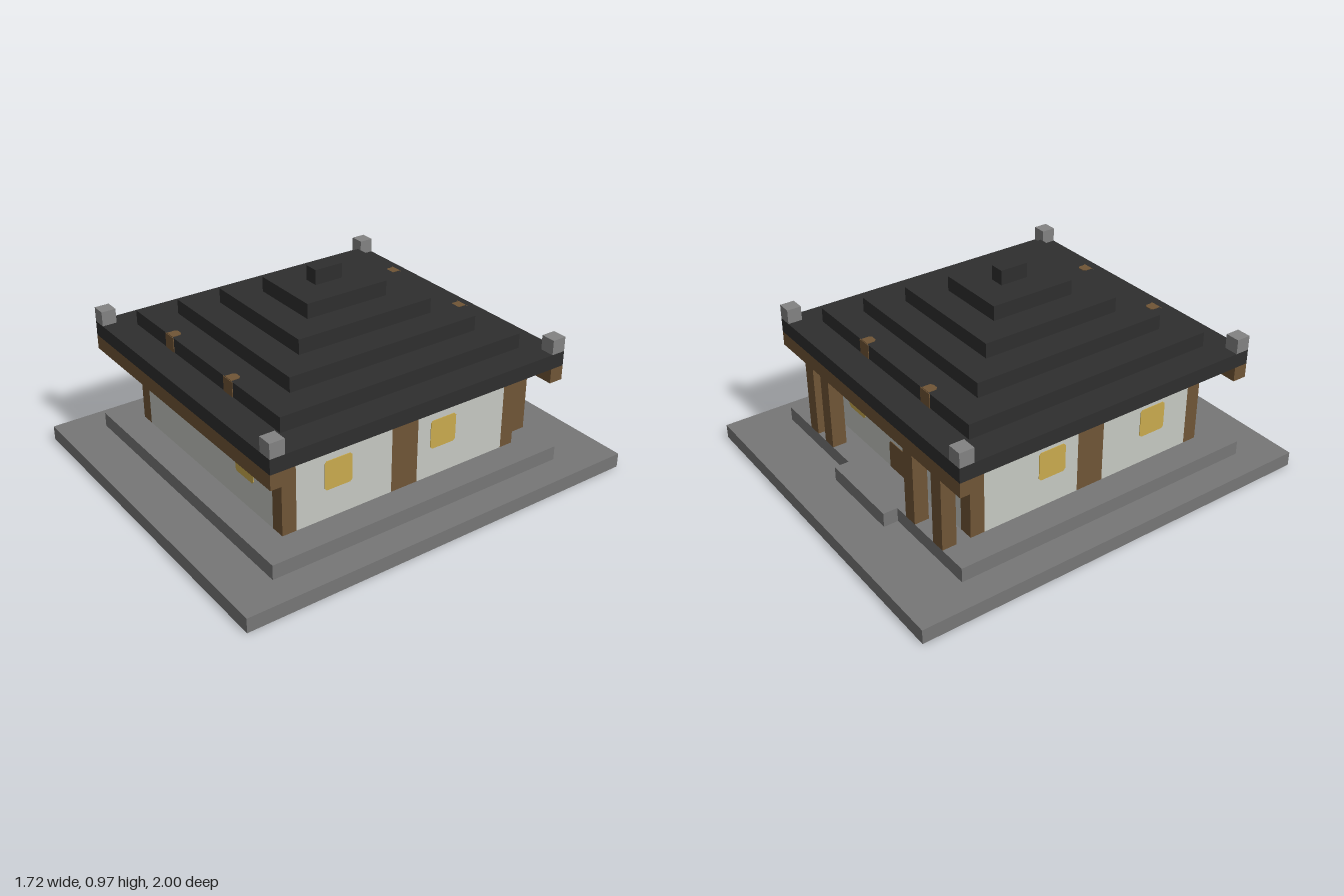
import * as THREE from 'three';

const U = 2 / 29; // one building block

const mat = (name, color) => {
  const m = new THREE.MeshStandardMaterial({ color });
  m.name = name;
  return m;
};

export function createModel() {
  const stone = mat('stone', 0x777777);
  const paleStone = mat('paleStone', 0x828282);
  const tile = mat('roofTile', 0x2e2e2e);
  const wood = mat('wood', 0x705536);
  const plaster = mat('plaster', 0xc6c9c2);
  const redwood = mat('redwood', 0x50342e);
  const glow = mat('windowGlow', 0xcaab4e);

  const model = new THREE.Group();
  model.name = 'hall';

  // box given by its limits in blocks
  const box = (name, material, [x0, x1], [y0, y1], [z0, z1]) => {
    const geo = new THREE.BoxGeometry((x1 - x0) * U, (y1 - y0) * U, (z1 - z0) * U);
    const mesh = new THREE.Mesh(geo, material);
    mesh.name = name;
    mesh.position.set((x0 + x1) / 2 * U, (y0 + y1) / 2 * U, (z0 + z1) / 2 * U);
    model.add(mesh);
    return mesh;
  };

  // thin plate with cut corners; top and bottom cuts are set separately
  const plate = (name, material, w, h, top, bottom, position, turnX, turnY) => {
    const a = w / 2, b = h / 2;
    const shape = new THREE.Shape([
      [-a + bottom, -b], [a - bottom, -b], [a, -b + bottom], [a, b - top],
      [a - top, b], [-a + top, b], [-a, b - top], [-a, -b + bottom],
    ].map(([x, y]) => new THREE.Vector2(x * U, y * U)));
    const geo = new THREE.ExtrudeGeometry(shape, { depth: 0.003, bevelEnabled: false });
    const mesh = new THREE.Mesh(geo, material);
    mesh.name = name;
    mesh.position.set(...position.map(v => v * U));
    mesh.rotation.set(turnX, turnY, 0);
    model.add(mesh);
  };

  // stepped foundation
  box('foundation', stone, [-12.5, 12.5], [0, 1], [-14.5, 14.5]);
  box('terrace', stone, [-10.5, 10.5], [1, 2], [-10.5, 11.5]);
  box('entranceStep', stone, [-3.5, 2.5], [1, 2], [-11.5, -10.5]);

  // walls with flush corner and middle posts
  box('frontWall', plaster, [-7.5, 7.5], [2, 7], [8.5, 9.5]);
  box('backWall', plaster, [-7.5, 7.5], [2, 7], [-8.5, -7.5]);
  for (const [x0, x1] of [[-8.5, -7.5], [7.5, 8.5]]) {
    box('cornerPost', wood, [x0, x1], [2, 7], [8.5, 9.5]);
    box('cornerPost', wood, [x0, x1], [2, 7], [-8.5, -7.5]);
    box('middlePost', wood, [x0, x1], [2, 7], [-0.5, 1.5]);
    box('sideWall', plaster, [x0, x1], [2, 7], [1.5, 8.5]);
    box('sideWall', plaster, [x0, x1], [2, 7], [-7.5, -0.5]);
  }
  box('wallTopBeam', redwood, [-8.5, 8.5], [7, 8], [-8.5, 9.5]);

  // eave beams and porch posts
  box('frontEaveBeam', wood, [-10.5, 10.5], [7, 8], [10.5, 11.5]);
  box('backEaveBeam', wood, [-10.5, 10.5], [7, 8], [-10.5, -9.5]);
  for (const x of [-8.5, -5.5, 4.5, 6.5]) {
    box('porchPost', wood, [x, x + 1], [2, 7], [-10.5, -9.5]);
  }

  // windows, door and panel over the door
  const cut = 0.15;
  plate('frontWindow', glow, 2, 2, cut, cut, [4.5, 5, 9.5], 0, 0);
  plate('backWindow', glow, 2, 2, cut, cut, [4.5, 5, -8.5], 0, Math.PI);
  for (const s of [-1, 1]) {
    for (const z of [5.5, -2.5]) {
      plate('sideWindow', glow, 2, 2, cut, cut, [s * 8.5, 5, z], 0, s * Math.PI / 2);
    }
  }
  plate('door', wood, 2, 2, cut, 0, [-0.5, 3, -8.5], 0, Math.PI);
  plate('doorPanel', paleStone, 5, 1, cut, cut, [0, 5.5, -8.5], 0, Math.PI);

  // stepped roof
  for (let i = 0; i < 5; i++) {
    const r = 10.5 - 2 * i;
    box('roofTier', tile, [-r, r], [8 + i, 9 + i], [-r, r + 1]);
  }
  box('roofRidge', tile, [-0.5, 0.5], [13, 14], [-0.5, 1.5]);

  // corner blocks on the eaves
  for (const x of [-10.5, 9.5]) {
    for (const z of [-10.5, 10.5]) {
      box('eaveCornerBlock', paleStone, [x, x + 1], [9, 10], [z, z + 1]);
    }
  }

  // rafter ends showing in the second roof tier
  for (const x of [-4, 3]) {
    plate('rafterEnd', wood, 1, 1, 0, 0, [x, 9.5, 9.5], 0, 0);
    plate('rafterEnd', wood, 1, 1, 0, 0, [x, 9.5, -8.5], 0, Math.PI);
    plate('rafterTop', wood, 0.7, 0.7, cut, 0, [x, 10, 9.15], -Math.PI / 2, 0);
    plate('rafterTop', wood, 0.7, 0.7, 0, cut, [x, 10, -8.15], -Math.PI / 2, 0);
  }
  return model;
}
